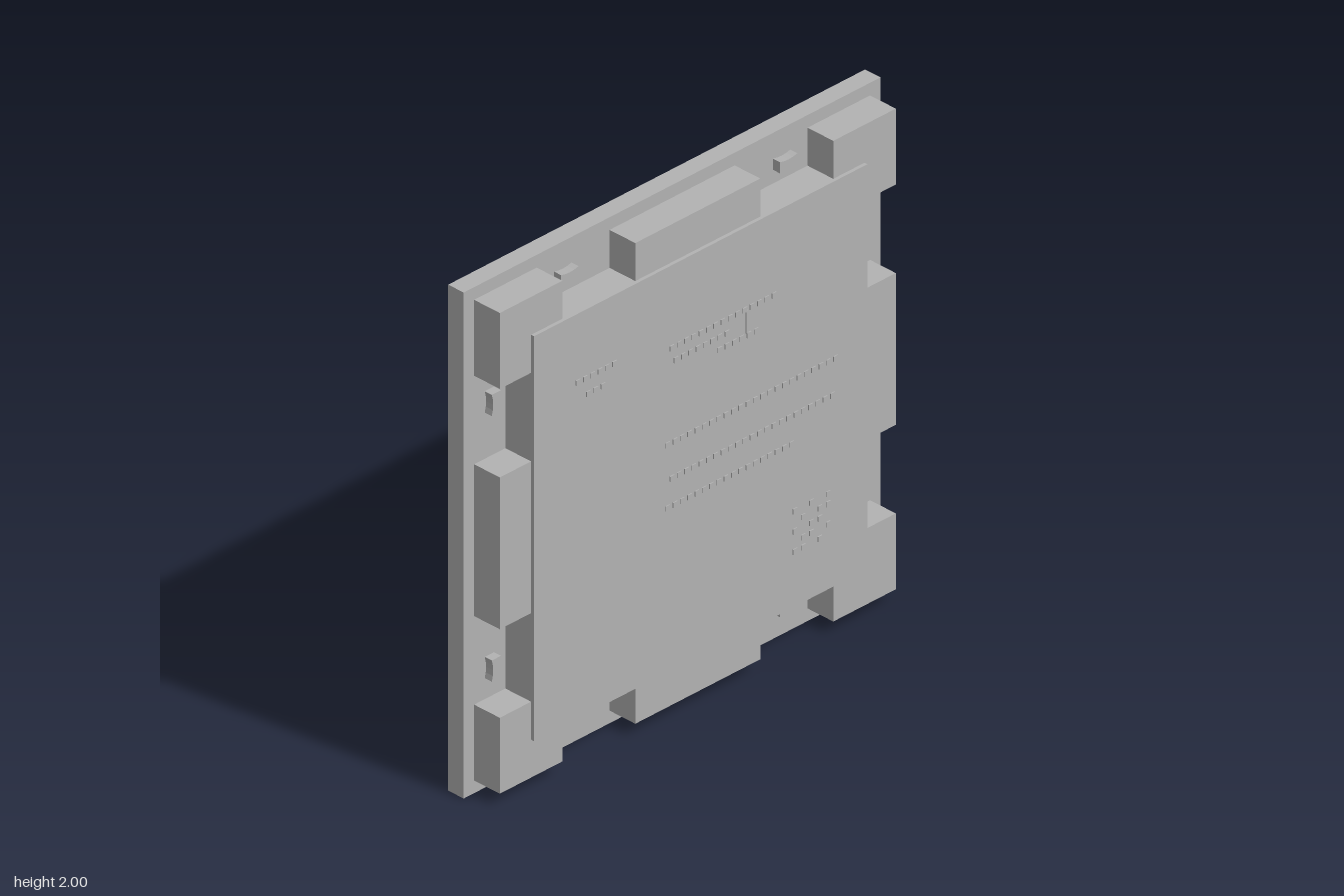
import * as THREE from 'three';
import { mergeGeometries } from 'three/addons/utils/BufferGeometryUtils.js';

export function createModel() {
  const model = new THREE.Group();
  model.name = 'processorChip';
  const grey = new THREE.MeshStandardMaterial({ color: 0xb2b2b2 });
  grey.name = 'plain grey';

  const BACK = -0.099, DECK = -0.025, LID = 0.112;

  // Box given by its centre and size in x and y, and its z range
  const slab = (x, y, w, h, z0, z1) =>
    new THREE.BoxGeometry(w, h, z1 - z0).translate(x, y, (z0 + z1) / 2);
  const add = (name, geometry) => {
    const mesh = new THREE.Mesh(geometry, grey);
    mesh.name = name;
    model.add(mesh);
    return mesh;
  };

  // Base board and raised lid
  add('substrate', slab(0, 1, 2, 2, BACK, DECK));
  add('lid', slab(0, 1, 1.6, 1.6, DECK, LID));

  // Blocks around the lid: four corners and four edge centres
  for (const s of [-1, 1]) {
    for (const t of [-1, 1]) {
      add('cornerBlock', slab(s * 0.8, 1 + t * 0.8, 0.3, 0.3, DECK, 0.098));
    }
    add('sideBlock', slab(s * 0.865, 1, 0.17, 0.6, DECK, 0.098));
    add('endBlock', slab(0, 1 + s * 0.865, 0.6, 0.17, DECK, 0.098));
  }

  // Small waisted parts on the rim
  const waist = new THREE.Shape();
  waist.moveTo(-0.042, -0.022);
  waist.quadraticCurveTo(0, -0.009, 0.042, -0.022);
  waist.lineTo(0.042, 0.022);
  waist.quadraticCurveTo(0, 0.009, -0.042, 0.022);
  waist.closePath();
  const waistGeometry = new THREE.ExtrudeGeometry(waist, {
    depth: 0.034, bevelEnabled: false, curveSegments: 4,
  });
  for (const s of [-1, 1]) {
    for (const t of [-1, 1]) {
      add('endComponent', waistGeometry).position.set(s * 0.525, 1 + t * 0.877, DECK);
      const side = add('sideComponent', waistGeometry);
      side.position.set(s * 0.877, 1 + t * 0.525, DECK);
      side.rotation.z = Math.PI / 2;
    }
  }

  // Capacitors in the middle of the back
  const capacitors = [];
  for (let i = -2; i <= 2; i++) {
    for (let j = -2; j <= 2; j++) {
      capacitors.push(slab(i * 0.1, 1 + j * 0.1, 0.075, 0.04, -0.12, BACK));
    }
  }
  add('capacitors', mergeGeometries(capacitors));

  // Contact pads on the back, leaving the centre clear
  const pads = [];
  for (let i = -17; i <= 16; i++) {
    for (let j = -17; j <= 16; j++) {
      if (Math.abs(i) < 6 && Math.abs(j) < 6) continue;
      pads.push(slab(i * 0.05, 1 + j * 0.05, 0.035, 0.035, -0.104, BACK));
    }
  }
  add('contactPads', mergeGeometries(pads));

  // Rows of plain raised dashes on the lid: [x start, x end, y]
  const dashRows = [
    [-0.6, -0.38, 1.53], [-0.55, -0.45, 1.465],
    [-0.15, 0.37, 1.475], [-0.13, 0.15, 1.42], [0.08, 0.28, 1.37],
    [-0.17, 0.65, 1.1], [-0.15, 0.65, 0.96], [-0.17, 0.44, 0.85],
  ];
  const marks = [slab(0.22, 1.425, 0.01, 0.09, LID, 0.116)];
  for (const [x0, x1, y] of dashRows) {
    for (let x = x0 + 0.01; x < x1; x += 0.035) {
      marks.push(slab(x, y, 0.02, 0.02, LID, 0.116));
    }
  }
  // Dot block in the lower corner
  for (let i = 0; i < 5; i++) {
    for (let j = 0; j < 5; j++) {
      if ((i * 2 + j * 3) % 5 < 3) {
        marks.push(slab(0.45 + i * 0.04, 0.42 + j * 0.04, 0.02, 0.02, LID, 0.116));
      }
    }
  }
  add('lidMarks', mergeGeometries(marks));

  return model;
}
